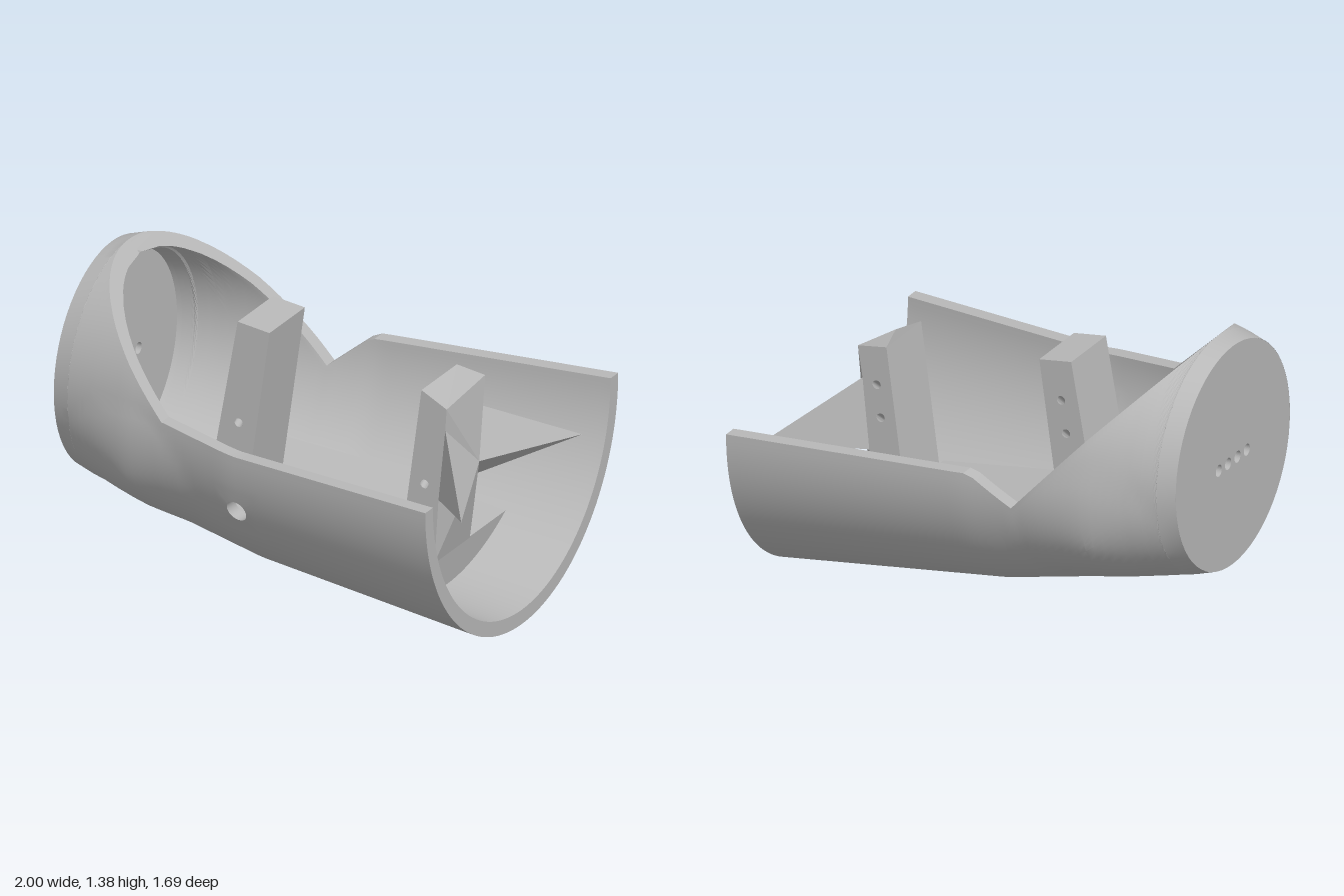
import * as THREE from 'three';
import { toCreasedNormals } from 'three/addons/utils/BufferGeometryUtils.js';

const CY = 0.845, WALL = 0.067, POST_Z = 0.155;

// piecewise linear lookup
function lerpTable(t, x) {
  if (x <= t[0][0]) return t[0][1];
  for (let i = 1; i < t.length; i++) {
    const [x0, y0] = t[i - 1], [x1, y1] = t[i];
    if (x <= x1) return y0 + (y1 - y0) * (x - x0) / (x1 - x0);
  }
  return t[t.length - 1][1];
}
const PROFILE = [[-1, 0.51], [-0.92, 0.535], [-0.75, 0.575], [-0.6, 0.61], [-0.46, 0.635], [-0.06, 0.72], [1, 0.845]];
const RIM_LEFT = [[-0.92, 1.38], [-0.4, 0.89], [0, CY], [1, CY]];
const RIM_RIGHT = [[-0.92, 1.38], [-0.6, 1.05], [-0.28, 0.7], [-0.1, CY], [1, CY]];
const radius = (x) => lerpTable(PROFILE, x);
const rimY = (x, side) => (x < -0.92 ? 2 : lerpTable(side > 0 ? RIM_LEFT : RIM_RIGHT, x));
const clamp = (v) => Math.max(-1, Math.min(1, v));

// triangle collector
function faces() {
  const p = [];
  return {
    tri(a, b, c) { p.push(...a, ...b, ...c); },
    quad(a, b, c, d, flip) {
      if (flip) p.push(...a, ...c, ...b, ...a, ...d, ...c);
      else p.push(...a, ...b, ...c, ...a, ...c, ...d);
    },
    geometry(crease) {
      const g = new THREE.BufferGeometry();
      g.setAttribute('position', new THREE.Float32BufferAttribute(p, 3));
      if (crease) return toCreasedNormals(g, crease);
      g.computeVertexNormals();
      return g;
    },
  };
}

// point on the shell wall; u runs from the right rim (-1) under the bottom to the left rim (1)
function wallPoint(x, u, inner) {
  let r = radius(x) - (inner ? WALL : 0);
  const phi = u * Math.acos(clamp((CY - rimY(x, u)) / r));
  if (!inner) {
    const d = Math.hypot(x + 0.61, (Math.abs(phi) - 1.09) * 0.6);
    r += 0.045 * Math.max(0, 1 - d / 0.35);
  }
  return [x, CY - r * Math.cos(phi), r * Math.sin(phi)];
}

function shellGeometry() {
  const f = faces(), N = 64;
  const xs = [-1, -0.96];
  for (let i = 0; i < 8; i++) xs.push(-0.92 + 0.07 * (i / 8) ** 2);
  for (let i = 0; i < 6; i++) xs.push(-0.85 + 0.05 * (i / 6) ** 2);
  const base = xs.length;
  for (let i = 0; i <= 45; i++) xs.push(-0.8 + 0.04 * i);
  const K = xs.length - 1;
  const at = (k, j, inner) => wallPoint(xs[k], (j / N) * 2 - 1, inner);

  // walls, leaving out the patch around the side hole
  const k0 = base + 17, k1 = base + 22, j0 = 52, j1 = 59;
  for (const inner of [false, true]) {
    for (let k = 0; k < K; k++) for (let j = 0; j < N; j++) {
      if (k >= k0 && k < k1 && j >= j0 && j < j1) continue;
      f.quad(at(k, j, inner), at(k + 1, j, inner), at(k + 1, j + 1, inner), at(k, j + 1, inner), inner);
    }
  }

  // side hole: patch ring on both walls plus the bore
  const loop = [];
  for (let k = k0; k < k1; k++) loop.push([k, j0]);
  for (let j = j0; j < j1; j++) loop.push([k1, j]);
  for (let k = k1; k > k0; k--) loop.push([k, j1]);
  for (let j = j1; j > j0; j--) loop.push([k0, j]);
  const hx = -0.02, hy = 0.565;
  const bore = ([k, j], inner) => {
    const p = at(k, j, false), t = Math.atan2(p[1] - hy, p[0] - hx);
    const x = hx + 0.05 * Math.cos(t), y = hy + 0.05 * Math.sin(t);
    const r = radius(x) - (inner ? WALL : 0);
    return [x, y, Math.sqrt(r * r - (CY - y) ** 2)];
  };
  loop.forEach((a, i) => {
    const b = loop[(i + 1) % loop.length];
    for (const inner of [false, true]) f.quad(at(...a, inner), at(...b, inner), bore(b, inner), bore(a, inner), inner);
    f.quad(bore(a, false), bore(b, false), bore(b, true), bore(a, true));
  });

  // cut rim along both sides
  const rimInner = (k, side) => {
    const y = rimY(xs[k], side);
    return y >= CY + radius(xs[k]) - WALL ? [xs[k], y, 0] : at(k, side > 0 ? N : 0, true);
  };
  for (const side of [1, -1]) for (let k = 2; k < K; k++) {
    const j = side > 0 ? N : 0;
    f.quad(at(k, j), at(k + 1, j), rimInner(k + 1, side), rimInner(k, side), side < 0);
  }
  // open front end
  for (let j = 0; j < N; j++) f.quad(at(K, j), at(K, j, true), at(K, j + 1, true), at(K, j + 1));
  return f.geometry(0.35);
}

// end plate with four cable holes
function endPlateGeometry() {
  const s = new THREE.Shape().absarc(0, 0, 0.509, 0, Math.PI * 2);
  for (const z of [-0.125, -0.042, 0.042, 0.125]) s.holes.push(new THREE.Path().absarc(z, -0.025, 0.027, 0, Math.PI * 2, true));
  const g = new THREE.ExtrudeGeometry(s, { depth: 0.06, bevelEnabled: false, curveSegments: 32 });
  return g.rotateY(Math.PI / 2).translate(-1, CY, 0);
}

// sloping floor that fills the bottom of the shell
function floorGeometry() {
  const f = faces(), S = 10, M = 20;
  const sections = [];
  for (let i = 0; i <= S; i++) {
    const t = i / S, x = -0.435 + 1.095 * t, top = 0.43 - 0.155 * t;
    const r = radius(x) - WALL + 0.012, a = Math.acos((CY - top) / r), row = [];
    for (let j = 0; j <= M; j++) {
      const phi = a * (2 * j / M - 1), y = CY - r * Math.cos(phi);
      row.push([x - 0.14 * (top - y), y, r * Math.sin(phi)]);
    }
    sections.push(row);
  }
  for (let i = 0; i < S; i++) {
    const a = sections[i], b = sections[i + 1];
    for (let j = 0; j < M; j++) f.quad(a[j], b[j], b[j + 1], a[j + 1]);
    f.quad(a[0], b[0], b[M], a[M], true);
  }
  const back = sections[0], front = sections[S];
  for (let j = 1; j < M; j++) {
    f.tri(back[0], back[j], back[j + 1]);
    f.tri(front[0], front[j + 1], front[j]);
  }
  return f.geometry(0.35);
}

// post flank with two holes
function flankGeometry(outline, holes, side) {
  const s = new THREE.Shape(outline.map((p) => new THREE.Vector2(...p)));
  for (const [x, y] of holes) s.holes.push(new THREE.Path().absarc(x, y, 0.02, 0, Math.PI * 2, true));
  const g = new THREE.ShapeGeometry(s, 10);
  if (side < 0) {
    g.index.array.reverse();
    g.computeVertexNormals();
  }
  return g.translate(0, 0, side * POST_Z);
}

// slanted bore from the left flank down from the right flank
function boreGeometry([xa, ya], [xb, yb]) {
  const f = faces(), n = 16;
  const p = (i, x, y, z) => [x + 0.02 * Math.cos(i / n * Math.PI * 2), y + 0.02 * Math.sin(i / n * Math.PI * 2), z];
  for (let i = 0; i < n; i++) {
    f.quad(p(i, xa, ya, POST_Z), p(i + 1, xa, ya, POST_Z), p(i + 1, xb, yb, -POST_Z), p(i, xb, yb, -POST_Z));
  }
  return f.geometry(0.6);
}

export function createModel() {
  const model = new THREE.Group();
  model.name = 'openHousing';
  const grey = new THREE.MeshStandardMaterial({ color: 0xb8b8b8, side: THREE.DoubleSide });
  grey.name = 'grey';
  const add = (parent, name, geometry) => {
    const m = new THREE.Mesh(geometry, grey);
    m.name = name;
    parent.add(m);
  };

  add(model, 'shell', shellGeometry());
  add(model, 'endPlate', endPlateGeometry());
  add(model, 'floor', floorGeometry());

  // outlines run anticlockwise: back foot, front edge upwards, back top
  const posts = [
    { name: 'rearPost', left: [[-0.46, 0.3], [-0.26, 0.36], [-0.145, 1.17], [-0.3, 1.19]],
      axis: [-0.222, 1.18, 0.16], low: [0.57, 0.72], high: [0.85, 1.0] },
    { name: 'frontPost', left: [[0.49, 0.27], [0.66, 0.27], [0.68, 0.57], [0.713, 0.9], [0.72, 1.0], [0.597, 1.065]],
      right: [[0.49, 0.27], [0.66, 0.27], [0.68, 0.57], [0.713, 0.9], [0.735, 1.045], [0.597, 1.065]],
      axis: [0.667, 1.055, 0.13], low: [0.48, 0.63], high: [0.73, 0.88], spiked: true },
  ];
  for (const { name, left, right = left, axis, low, high, spiked } of posts) {
    const post = new THREE.Group();
    post.name = name;
    model.add(post);
    const onAxis = (y) => [axis[0] - axis[2] * (axis[1] - y), y];
    const a = low.map(onAxis), b = high.map(onAxis);
    add(post, 'leftFlank', flankGeometry(left, a, 1));
    add(post, 'rightFlank', flankGeometry(right, b, -1));
    a.forEach((p, i) => add(post, 'bore', boreGeometry(p, b[i])));

    const f = faces(), n = left.length;
    const L = left.map((p) => [...p, POST_Z]), R = right.map((p) => [...p, -POST_Z]);
    for (let i = 0; i < n; i++) {
      if (spiked && i > 0 && i < n - 2) continue;
      const k = (i + 1) % n;
      f.quad(L[i], R[i], R[k], L[k]);
    }
    if (spiked) {
      // front face folds into a star with two long side spikes
      const hub = [0.765, 0.69, -0.05], tipL = [1, 0.68, 0.53], tipR = [1, 0.68, -0.53];
      const ring = [L[4], L[3], tipL, L[2], L[1], R[1], R[2], tipR, R[3], R[4]];
      ring.forEach((p, i) => f.tri(hub, p, ring[(i + 1) % ring.length]));
      f.tri(L[3], L[2], tipL);
      f.tri(R[2], R[3], tipR);
    }
    add(post, 'postFaces', f.geometry());
  }
  return model;
}
